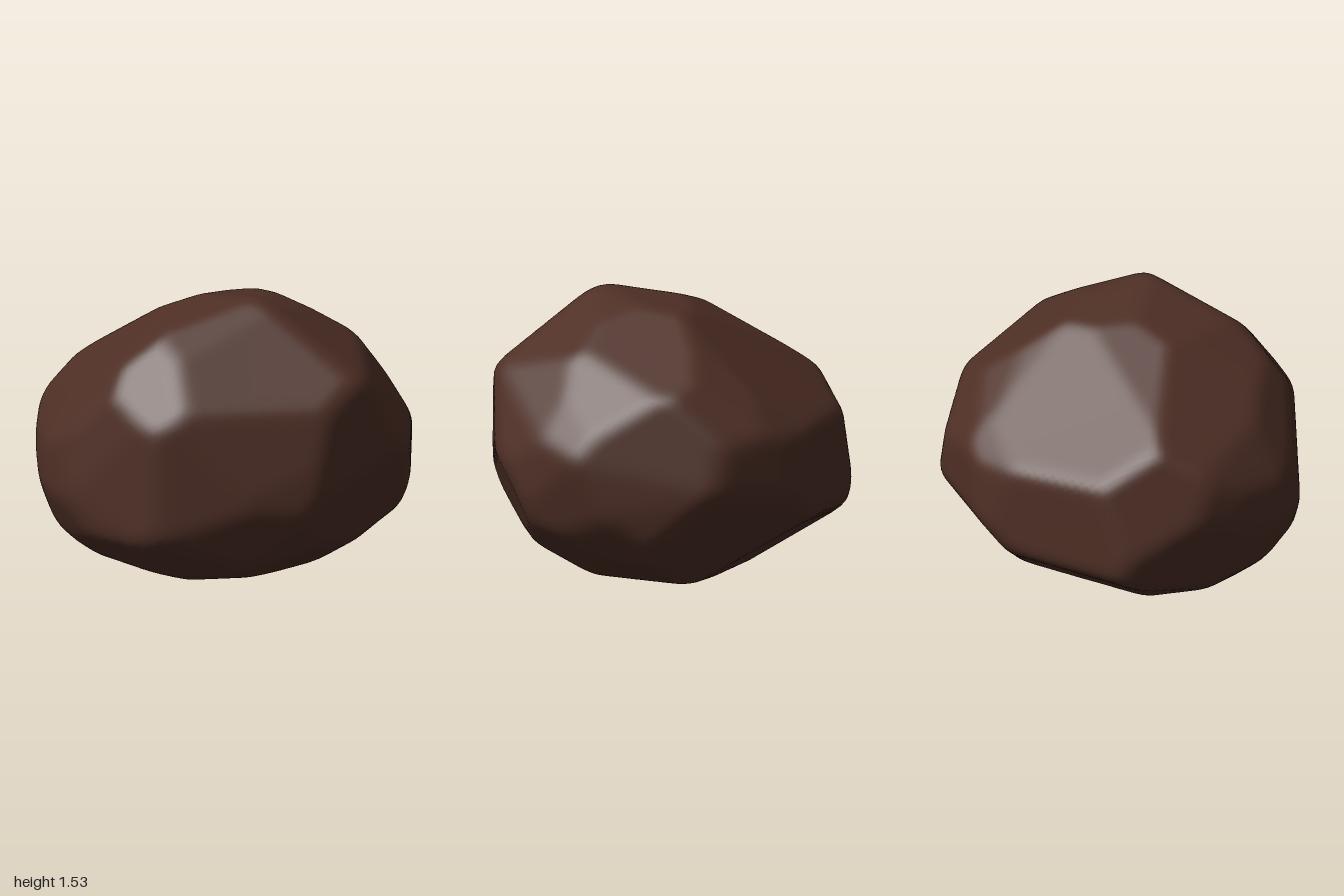
import * as THREE from 'three';
import { mergeVertices } from 'three/addons/utils/BufferGeometryUtils.js';

const MID = 0.765; // height of the boulder's core above the ground

// Each edge of an outline is a straight chisel cut through the stone,
// seen from a direction given by a turn about y and a tilt, in degrees
function chisel(turn, tilt, outline) {
  const a = THREE.MathUtils.degToRad(turn);
  const e = THREE.MathUtils.degToRad(tilt);
  const u = new THREE.Vector3(Math.cos(a), 0, -Math.sin(a));
  const v = new THREE.Vector3(-Math.sin(a) * Math.sin(e), Math.cos(e), -Math.cos(a) * Math.sin(e));
  return outline.map(([x, y], i) => {
    const [x2, y2] = outline[(i + 1) % outline.length];
    const along = new THREE.Vector2(x2 - x, y2 - y).normalize();
    const normal = u.clone().multiplyScalar(-along.y).addScaledVector(v, along.x);
    return { normal, distance: along.x * y - along.y * x };
  });
}

// Outlines run clockwise and are measured from the core
const width = [[-1.02, -0.2], [-1.01, -0.02], [-0.8, 0.35], [-0.4, 0.64], [0.1, 0.78], [0.67, 0.56],
  [1.01, -0.01], [0.88, -0.5], [0.42, -0.73], [0, -0.765], [-0.4, -0.75], [-0.7, -0.66], [-0.92, -0.48]];
const depth = [[-0.91, -0.23], [-0.83, 0.27], [-0.4, 0.78], [0.2, 0.68], [0.7, 0.28], [0.87, 0.08],
  [0.9, -0.25], [0.82, -0.45], [0.3, -0.765], [-0.4, -0.745], [-0.74, -0.62]];
const plan = [[-1.01, -0.17], [-0.99, 0.13], [-0.91, 0.43], [-0.69, 0.71], [0.17, 0.91], [0.66, 0.69],
  [1.01, 0.02], [0.9, -0.53], [0.36, -0.88], [0, -0.9], [-0.51, -0.82], [-0.92, -0.42]];
const frontRight = [[-0.3, 0.665], [0.29, 0.64], [0.71, 0.4], [0.89, 0.19], [0.933, -0.1], [0.855, -0.475],
  [0.64, -0.7], [0.26, -0.84], [-0.4, -0.83], [-0.91, -0.54], [-0.995, -0.1], [-0.95, 0.18], [-0.77, 0.425]];
const backLeft = [[0.105, 0.866], [0.65, 0.6], [0.905, 0.31], [0.995, -0.335], [0.805, -0.65],
  [0.535, -0.805], [0.2, -0.855], [-0.51, -0.68], [-0.935, -0.245], [-0.825, 0.325], [-0.455, 0.7]];
const backRight = [[-0.05, 0.73], [0.87, 0.24], [0.985, -0.185], [0.705, -0.725], [0.525, -0.815],
  [-0.16, -0.91], [-0.44, -0.81], [-0.73, -0.575], [-1.02, -0.005], [-0.915, 0.245], [-0.65, 0.575]];

const facets = [
  ...chisel(0, 0, width),
  ...chisel(90, 0, depth),
  ...chisel(0, 90, plan),
  ...chisel(35, 30, frontRight),
  ...chisel(215, 30, backLeft),
  ...chisel(145, -30, backRight),
];

// Distance from the core to the nearest facet in a direction
function reach(dir) {
  let r = 2;
  for (const { normal, distance } of facets) {
    const facing = normal.dot(dir);
    if (facing > 0.05) r = Math.min(r, distance / facing);
  }
  return r;
}

// Average of nearby reaches, which wears the edges round
function wornReach(dir) {
  const pole = Math.abs(dir.y) < 0.9 ? new THREE.Vector3(0, 1, 0) : new THREE.Vector3(1, 0, 0);
  const side = pole.cross(dir).normalize();
  const up = dir.clone().cross(side);
  const samples = 8;
  let sum = reach(dir);
  for (let i = 0; i < samples; i++) {
    const t = (i / samples) * Math.PI * 2;
    const spread = i % 2 ? 0.04 : 0.07;
    sum += reach(dir.clone()
      .addScaledVector(side, Math.cos(t) * spread)
      .addScaledVector(up, Math.sin(t) * spread)
      .normalize());
  }
  return sum / (samples + 1);
}

// Shared-vertex sphere pushed out to the worn facets
function boulderGeometry() {
  const sphere = new THREE.IcosahedronGeometry(1, 32);
  sphere.deleteAttribute('normal');
  sphere.deleteAttribute('uv');
  const geometry = mergeVertices(sphere);
  const position = geometry.attributes.position;
  const p = new THREE.Vector3();
  for (let i = 0; i < position.count; i++) {
    p.fromBufferAttribute(position, i).normalize();
    p.multiplyScalar(wornReach(p));
    position.setXYZ(i, p.x, p.y, p.z);
  }
  geometry.computeVertexNormals();
  return geometry;
}

export function createModel() {
  const group = new THREE.Group();
  group.name = 'rock';
  const stone = new THREE.MeshStandardMaterial({ color: 0x4e2f25 });
  stone.name = 'dark brown stone';
  const boulder = new THREE.Mesh(boulderGeometry(), stone);
  boulder.name = 'boulder';
  boulder.position.y = MID;
  group.add(boulder);
  return group;
}
